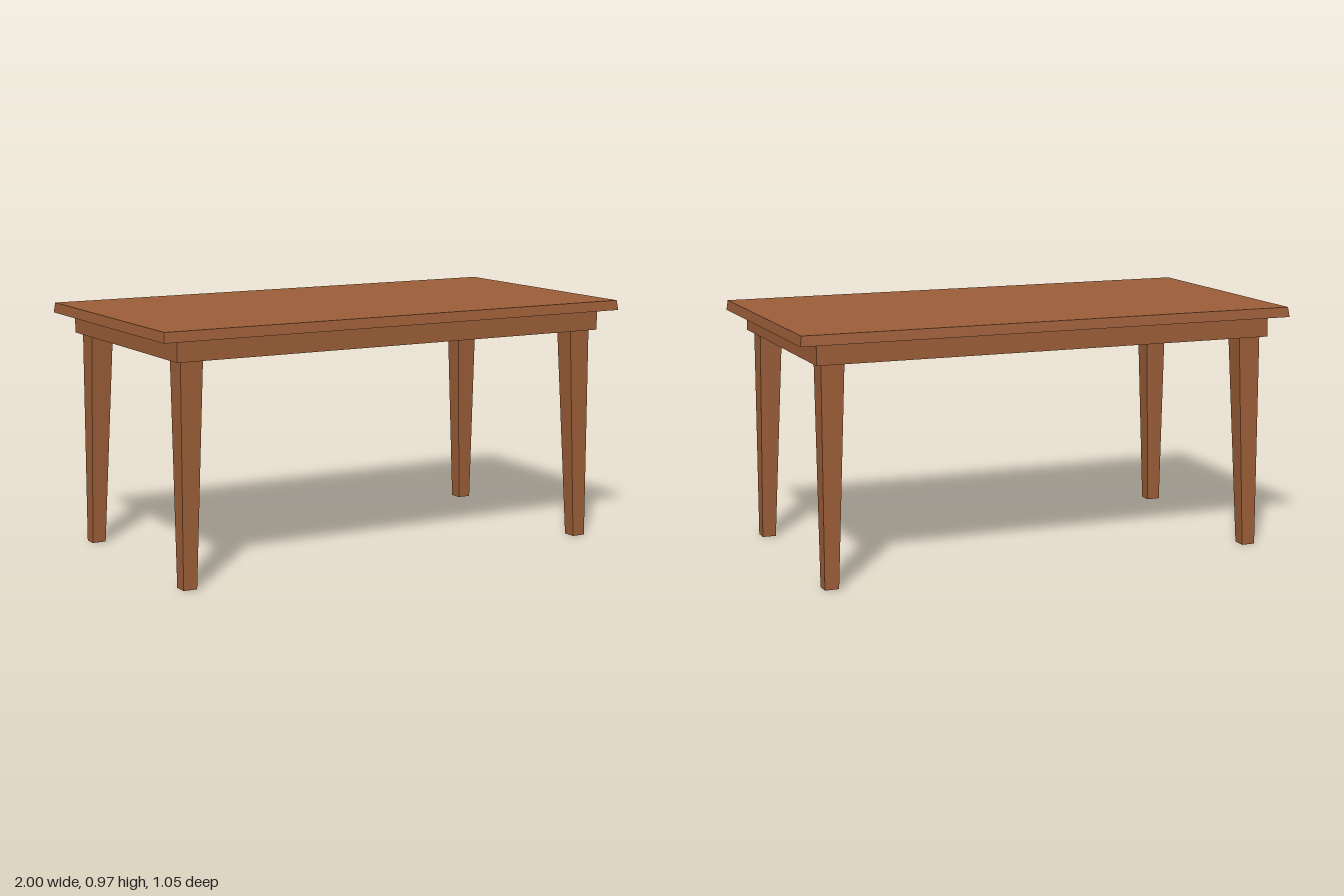
import * as THREE from 'three';

// Double-sided, as the top, legs and rail are open shells
const wood = new THREE.MeshStandardMaterial({ color: 0x9c5e38, side: THREE.DoubleSide });
wood.name = 'brown wood';

// Face numbers of a box, for leaving sides open
const TOP = 2, BOTTOM = 3;

// Box given by its extents along x, y and z, without the open sides
function block(name, [x0, x1], [y0, y1], [z0, z1], open = []) {
  const geo = new THREE.BoxGeometry(x1 - x0, y1 - y0, z1 - z0);
  geo.translate((x0 + x1) / 2, (y0 + y1) / 2, (z0 + z1) / 2);
  const corners = Array.from(geo.index.array);
  geo.setIndex(corners.filter((_, i) => !open.includes(Math.floor(i / 6))));
  geo.clearGroups();
  const mesh = new THREE.Mesh(geo, wood);
  mesh.name = name;
  return mesh;
}

// Moves every vertex of a mesh by a rule
function reshape(mesh, rule) {
  const p = mesh.geometry.attributes.position;
  const v = new THREE.Vector3();
  for (let i = 0; i < p.count; i++) {
    rule(v.fromBufferAttribute(p, i));
    p.setXYZ(i, v.x, v.y, v.z);
  }
  mesh.geometry.computeVertexNormals();
  return mesh;
}

export function createModel() {
  const table = new THREE.Group();
  table.name = 'table';

  const slabBottom = 0.928, slabTop = 0.967, apronBottom = 0.848;
  const apronX = 0.928, apronZ = 0.478;
  const legX = 0.905, legZ = 0.455;

  // Tabletop, hollow below, its edges leaning slightly inward toward the top
  const top = block('tabletop', [-1, 1], [slabBottom, slabTop], [-0.523, 0.523], [BOTTOM]);
  table.add(reshape(top, (v) => {
    if (v.y > 0.95) {
      v.x -= Math.sign(v.x) * 0.005;
      v.z -= Math.sign(v.z) * 0.005;
    }
  }));

  // Apron frame and the middle rail under the top
  const apronY = [apronBottom, slabBottom];
  table.add(
    block('frontApron', [-apronX, apronX], apronY, [legZ, apronZ]),
    block('backApron', [-apronX, apronX], apronY, [-apronZ, -legZ]),
    block('leftApron', [legX, apronX], apronY, [-legZ, legZ]),
    block('rightApron', [-apronX, -legX], apronY, [-legZ, legZ]),
    block('middleRail', [-legX, legX], apronY, [-0.014, 0.014], [TOP, BOTTOM]),
  );

  // Open-ended legs, straight outside and tapering on the two inner sides
  const topWidth = 0.093, footWidth = 0.055;
  for (const sx of [-1, 1]) {
    for (const sz of [-1, 1]) {
      const name = (sz > 0 ? 'front' : 'back') + (sx > 0 ? 'Left' : 'Right') + 'Leg';
      const leg = block(name, [-0.5, 0.5], [0, slabBottom], [-0.5, 0.5], [TOP, BOTTOM]);
      table.add(reshape(leg, (v) => {
        const width = v.y > 0.5 ? topWidth : footWidth;
        v.x = sx * (legX - width / 2) + v.x * width;
        v.z = sz * (legZ - width / 2) + v.z * width;
      }));
    }
  }
  return table;
}
